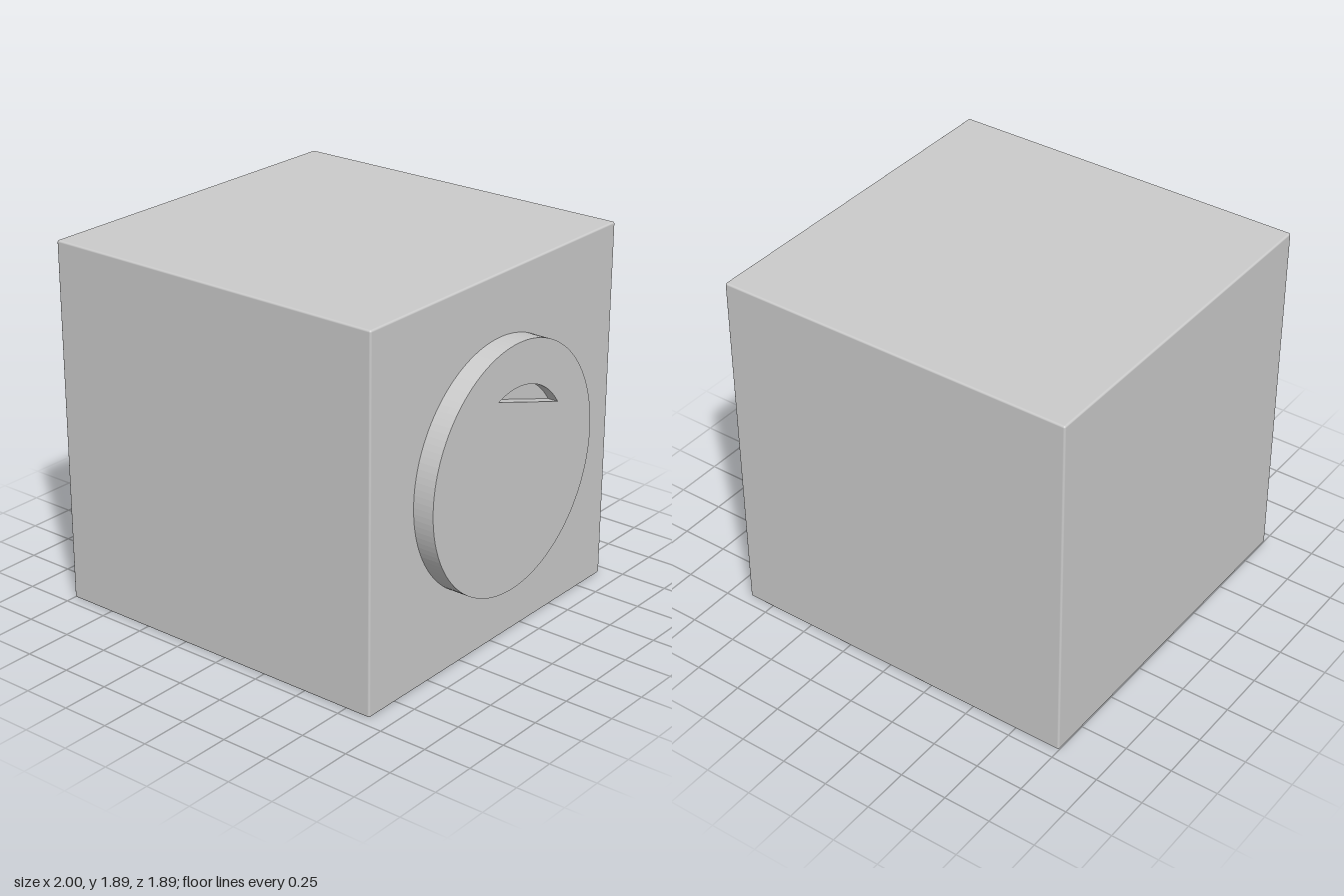
import * as THREE from 'three';
import { RoundedBoxGeometry } from 'three/addons/geometries/RoundedBoxGeometry.js';

const SIZE = 1.89, MID = SIZE / 2, FACE_X = SIZE - 1;
const DISC_RADIUS = 0.63, DISC_DEPTH = 0.11, RECESS_DEPTH = 0.055;

export function createModel() {
  const group = new THREE.Group();
  const smooth = new THREE.MeshStandardMaterial({ color: 0xcccccc });
  const flat = new THREE.MeshStandardMaterial({ color: 0xcccccc, flatShading: true });

  // Cube body with finely eased edges
  const body = new THREE.Mesh(new RoundedBoxGeometry(SIZE, SIZE, SIZE, 2, 0.01), smooth);
  body.name = 'body';
  body.position.set(FACE_X - MID, MID, 0);
  group.add(body);

  // Disc layer on the +x face, extruded outward from x
  const addDisc = (name, x, depth, hole) => {
    const shape = new THREE.Shape().absarc(0, 0, DISC_RADIUS, 0, Math.PI * 2, false);
    if (hole) shape.holes.push(hole);
    const geometry = new THREE.ExtrudeGeometry(shape, { depth, bevelEnabled: false, curveSegments: 64 });
    const mesh = new THREE.Mesh(geometry.rotateY(Math.PI / 2), flat);
    mesh.name = name;
    mesh.position.set(x, MID, 0);
    group.add(mesh);
  };

  // Recess outline: an arc closed by its chord
  const recess = new THREE.Path();
  recess.absarc(0, 0, 0.41, THREE.MathUtils.degToRad(110.6), THREE.MathUtils.degToRad(34.5), true);
  recess.closePath();

  addDisc('discBase', FACE_X, DISC_DEPTH - RECESS_DEPTH);
  addDisc('discFaceWithRecess', FACE_X + DISC_DEPTH - RECESS_DEPTH, RECESS_DEPTH, recess);

  return group;
}
